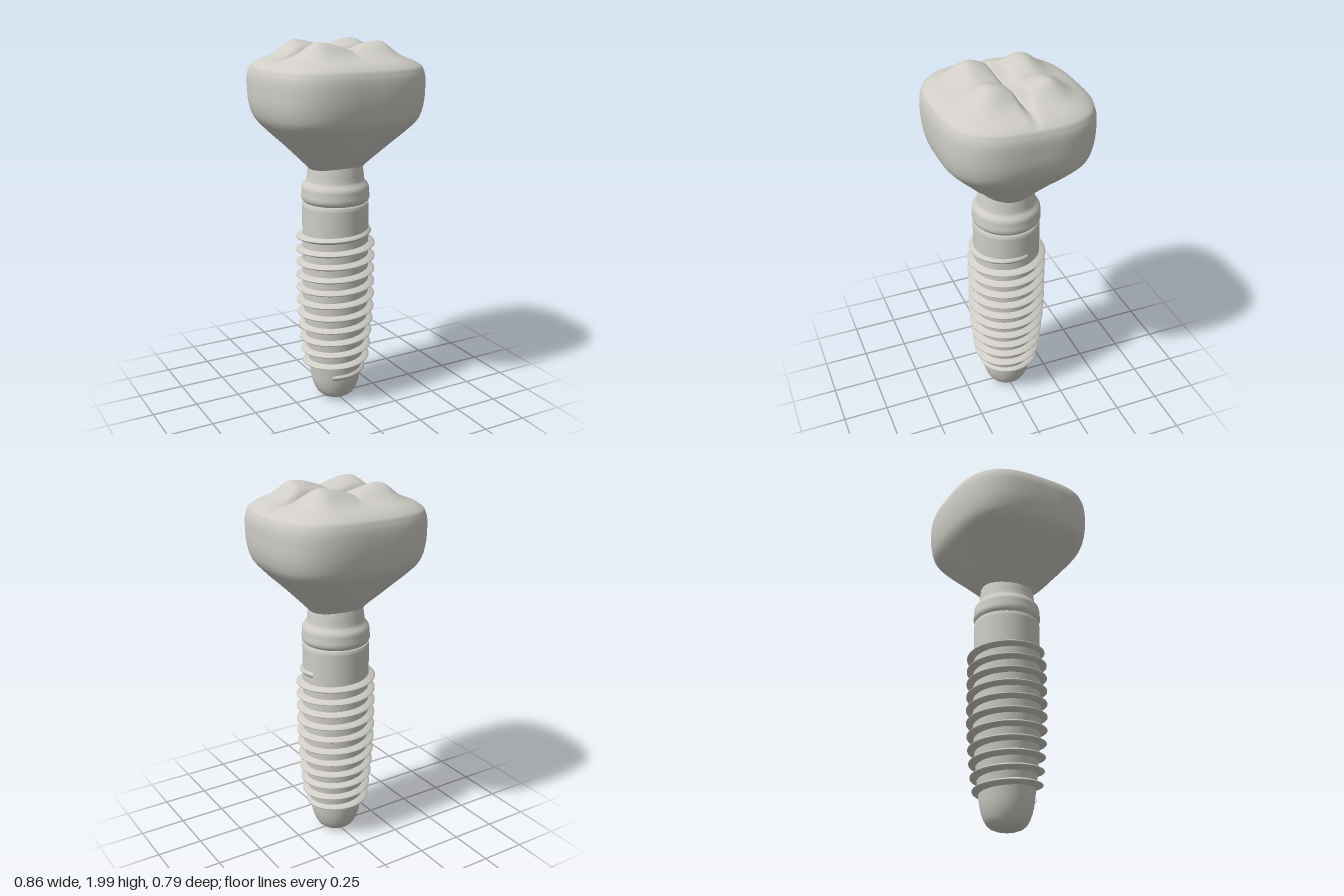
import * as THREE from 'three';

const ceramic = new THREE.MeshStandardMaterial({ color: 0xcfcdc6 });
ceramic.name = 'warm grey ceramic';

function part(name, geometry) {
  const mesh = new THREE.Mesh(geometry, ceramic);
  mesh.name = name;
  return mesh;
}

// Joins rows of equal point count into a smooth skin; rows run upward, points run from +z towards +x.
function skin(rows, closed) {
  const n = rows[0].length, index = [];
  for (let i = 0; i < rows.length - 1; i++) {
    for (let j = 0; j < (closed ? n : n - 1); j++) {
      const k = (j + 1) % n;
      const a = i * n + j, b = i * n + k, c = a + n, d = b + n;
      index.push(a, b, d, a, d, c);
    }
  }
  const g = new THREE.BufferGeometry();
  g.setAttribute('position', new THREE.Float32BufferAttribute(rows.flat(2), 3));
  g.setIndex(index);
  g.computeVertexNormals();
  return g;
}

function lathe(points) {
  return new THREE.LatheGeometry(points.map(([r, y]) => new THREE.Vector2(r, y)), 64);
}

// Chewing surface: four cusps, a deep groove along x and a shallow one along z
function crownHeight(x, z, s) {
  const ax = Math.abs(x) - 0.17, az = Math.abs(z) - 0.14;
  const fx = Math.exp(-((ax / (ax > 0 ? 0.085 : 0.2)) ** 2));
  const fz = Math.exp(-((az / (az > 0 ? 0.1 : 0.14)) ** 2));
  const fade = 1 - s ** 8;
  const groove = 0.045 * (0.3 + 0.7 * fx) * Math.exp(-((z / 0.025) ** 2));
  return 1.92 - 0.05 * s ** 8 + fade * (0.08 * fx * fz - groove);
}

function crownGeometry() {
  const segments = 192, rows = [];
  // Side profile as (x radius, height, z radius)
  const side = new THREE.CatmullRomCurve3([
    [0.145, 1.335, 0.145], [0.2, 1.392, 0.195], [0.27, 1.465, 0.255], [0.345, 1.54, 0.32],
    [0.402, 1.61, 0.372], [0.424, 1.68, 0.39], [0.43, 1.76, 0.396],
    [0.428, 1.83, 0.392], [0.415, 1.87, 0.38],
  ].map(p => new THREE.Vector3(...p)));
  const ring = (rx, rz, power, height) => {
    const row = [];
    for (let j = 0; j < segments; j++) {
      const t = j / segments * Math.PI * 2, c = Math.cos(t), s = Math.sin(t);
      const k = (Math.abs(c) ** power + Math.abs(s) ** power) ** (-1 / power);
      const x = rx * k * s, z = rz * k * c;
      row.push([x, height(x, z, t), z]);
    }
    rows.push(row);
  };
  for (const p of side.getPoints(36)) {
    const up = THREE.MathUtils.smoothstep(p.y, 1.335, 1.62);
    const scallop = 0.012 * (1 - THREE.MathUtils.smoothstep(p.y, 1.335, 1.45));
    ring(p.x, p.z, 2 + up, (x, z, t) => p.y + scallop * (1 + Math.cos(2 * t)) * 0.8);
  }
  const steps = 56;
  for (let i = 1; i <= steps; i++) {
    const s = 1 - i / steps;
    ring(0.415 * s, 0.38 * s, 3, (x, z) => crownHeight(x, z, s));
  }
  return skin(rows, true);
}

// Helical ridge that follows the tapering screw body
function threadGeometry() {
  const pitch = 0.0733, start = 0.165, end = 1.0, perTurn = 64;
  const count = Math.round((end - start) / pitch * perTurn);
  const section = [[-0.015, -0.024], [0.003, -0.018], [0.7, -0.008], [1, -0.002],
    [1, 0.002], [0.7, 0.008], [0.003, 0.018], [-0.015, 0.024]];
  const rows = section.map(() => []);
  for (let i = 0; i <= count; i++) {
    const y = start + (end - start) * i / count;
    const angle = (y - 0.905) / pitch * Math.PI * 2;
    const root = bodyRadius(y) - 0.002;
    const depth = 0.037 * Math.min(1, 0.25 + (y - start) / 0.06, 0.25 + (end - y) / 0.06);
    section.forEach(([out, dy], k) => {
      const r = root + (out < 0 ? out : out * depth);
      rows[k].push([r * Math.sin(angle), y + dy, r * Math.cos(angle)]);
    });
  }
  return skin(rows, false);
}

function bodyRadius(y) {
  const drop = Math.max(0, (0.62 - y) / 0.48);
  return 0.18 - 0.04 * drop ** 1.5;
}

export function createModel() {
  const model = new THREE.Group();
  model.name = 'dentalImplant';

  // Crown
  model.add(part('crown', crownGeometry()));

  // Abutment with its rounded collar
  model.add(part('abutment', lathe([
    [0.168, 1.145], [0.17, 1.155], [0.179, 1.162], [0.184, 1.175], [0.184, 1.19], [0.181, 1.205],
    [0.181, 1.225], [0.179, 1.238], [0.172, 1.25], [0.16, 1.262], [0.154, 1.275],
    [0.152, 1.3], [0.147, 1.335], [0.14, 1.37],
  ])));

  // Screw body with rounded tip
  const body = [[0, 0.005], [0.03, 0.006], [0.06, 0.011], [0.085, 0.021], [0.103, 0.037],
    [0.118, 0.062], [0.13, 0.095], [0.137, 0.125]];
  for (let i = 0; i <= 14; i++) {
    const y = 0.15 + i * 0.07;
    body.push([bodyRadius(y), y]);
  }
  model.add(part('screwBody', lathe(body)));
  model.add(part('screwShoulder', lathe([[0.18, 1.13], [0.178, 1.146], [0.172, 1.152], [0.12, 1.153]])));

  // Screw thread
  model.add(part('screwThread', threadGeometry()));

  return model;
}
